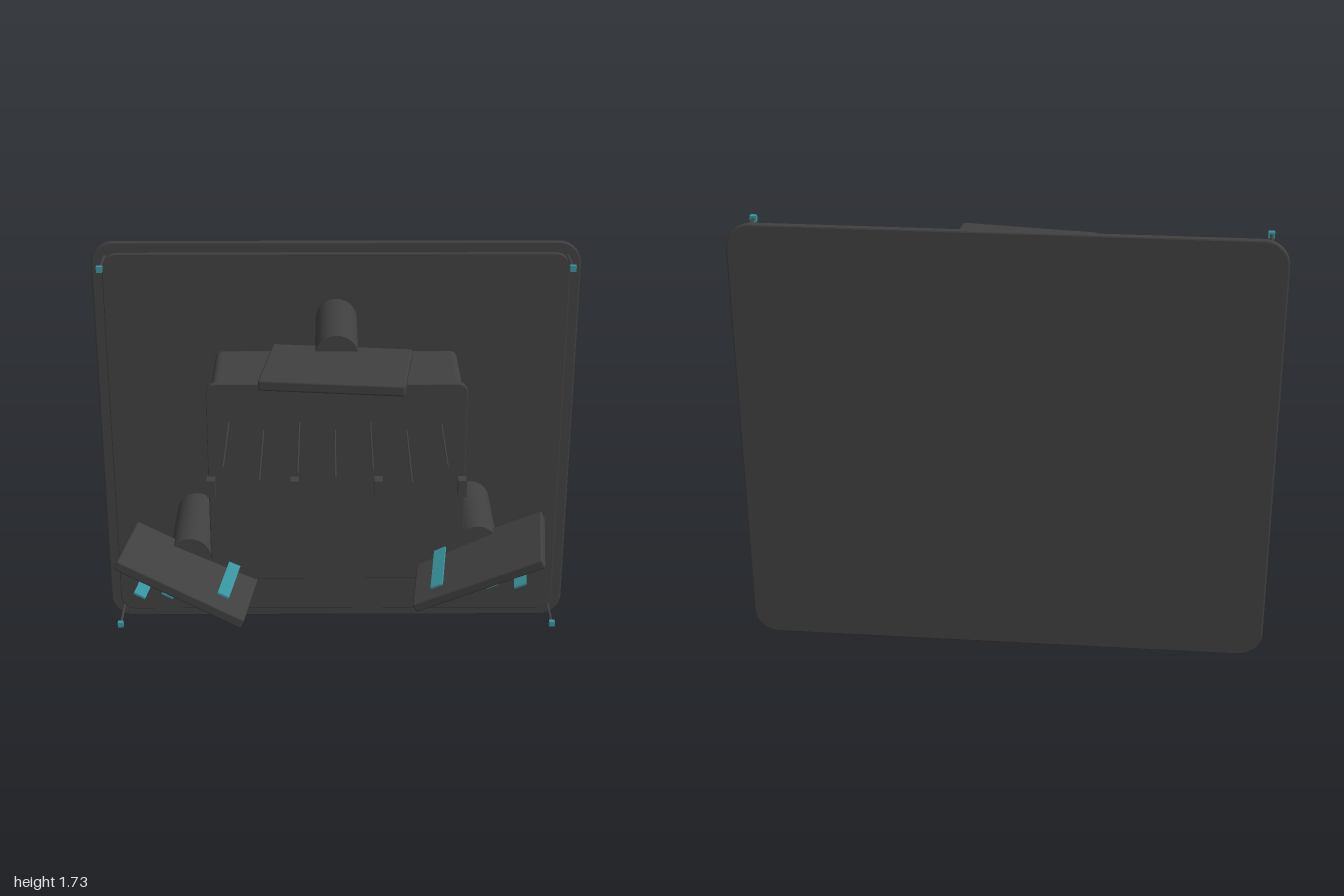
import * as THREE from 'three';
import { RoundedBoxGeometry } from 'three/addons/geometries/RoundedBoxGeometry.js';

const mat = (name, color) => {
  const m = new THREE.MeshStandardMaterial({ color });
  m.name = name;
  return m;
};

// Rounded rectangle slab between z0 and z1, with a small bevel
function slab(x0, x1, y0, y1, z0, z1, r, bevel) {
  const b = bevel, s = new THREE.Shape();
  x0 += b; x1 -= b; y0 += b; y1 -= b;
  s.moveTo(x0 + r, y0);
  s.lineTo(x1 - r, y0).absarc(x1 - r, y0 + r, r, -Math.PI / 2, 0);
  s.lineTo(x1, y1 - r).absarc(x1 - r, y1 - r, r, 0, Math.PI / 2);
  s.lineTo(x0 + r, y1).absarc(x0 + r, y1 - r, r, Math.PI / 2, Math.PI);
  s.lineTo(x0, y0 + r).absarc(x0 + r, y0 + r, r, Math.PI, Math.PI * 1.5);
  const g = new THREE.ExtrudeGeometry(s, {
    depth: z1 - z0 - 2 * b, bevelEnabled: b > 0, bevelSize: b,
    bevelThickness: b, bevelSegments: 2, curveSegments: 8,
  });
  return g.translate(0, 0, z0 + b);
}

// Cylinder along z from z0 to z1
const rod = (r, z0, z1, sides) =>
  new THREE.CylinderGeometry(r, r, z1 - z0, sides).rotateX(Math.PI / 2).translate(0, 0, (z0 + z1) / 2);

export function createModel() {
  const model = new THREE.Group();
  model.name = 'wallUnit';
  const dark = mat('dark grey', 0x404040);
  const teal = mat('teal', 0x38949e);

  const add = (name, geo, material, x = 0, y = 0, z = 0, parent = model) => {
    const mesh = new THREE.Mesh(geo, material);
    mesh.name = name;
    mesh.position.set(x, y, z);
    parent.add(mesh);
    return mesh;
  };

  // Wall panel in two steps
  add('backPanel', slab(-1, 1, 0.005, 1.733, -0.535, -0.51, 0.09, 0.006), dark);
  add('innerPanel', slab(-0.955, 0.955, 0.05, 1.69, -0.511, -0.49, 0.06, 0.004), dark);

  // Central housing and its front plate
  add('housing', new RoundedBoxGeometry(1, 0.83, 0.41, 4, 0.03), dark, 0, 0.865, -0.283);
  add('frontPlate', slab(-0.515, 0.515, 0.44, 1.3, -0.066, -0.04, 0.035, 0.003), dark);
  add('plateSpacer', new THREE.BoxGeometry(0.9, 0.74, 0.03), dark, 0, 0.865, -0.07);

  // Small feet under the housing
  for (const x of [-0.11, 0.11])
    add('foot', new THREE.BoxGeometry(0.1, 0.02, 0.1), dark, x, 0.446, -0.27);

  // Clips across the front plate
  for (const x of [-0.503, -0.168, 0.167, 0.502])
    add('clip', new THREE.BoxGeometry(0.034, 0.07, 0.055), dark, x, 0.869, -0.018);

  // Row of thin needles: start and end of each along z
  const needles = [[-0.04, 0.385], [0.04, 0.505], [-0.04, 0.44], [0.04, 0.48],
    [-0.04, 0.41], [0.04, 0.53], [-0.03, 0.385]];
  needles.forEach(([z0, z1], i) =>
    add('needle', rod(0.0035, z0, z1, 8), dark, (i - 3) * 0.14 - 0.007, 1.137));

  // Three posts, each with a tilted paddle and four strips
  const arms = [[0, 1.416, 0], [-0.6, 0.538, -0.436], [0.573, 0.592, 0.436]];
  for (const [x, y, tilt] of arms) {
    const arm = new THREE.Group();
    arm.name = 'arm';
    arm.position.set(x, y, 0);
    model.add(arm);
    add('post', rod(0.085, -0.48, -0.04, 40), dark, 0, 0, 0, arm);
    const paddle = add('paddle', new RoundedBoxGeometry(0.55, 0.042, 0.4, 2, 0.008), dark, 0, 0, 0.1, arm);
    paddle.rotation.set(0, -0.115, tilt, 'ZYX');
    for (let i = 0; i < 4; i++) {
      const strip = add('strip', new THREE.BoxGeometry(0.05, 0.008, 0.3), teal,
        (i - 1.5) * 0.11, -0.025, 0.103, arm);
      strip.rotation.set(0, -0.115, tilt, 'ZYX');
    }
  }

  // Corner pins with teal tips
  for (const x of [-0.942, 0.942])
    for (const y of [0.062, 1.678]) {
      add('cornerPin', rod(0.006, -0.5, -0.33, 10), dark, x, y);
      add('pinTip', new THREE.BoxGeometry(0.024, 0.024, 0.02), teal, x, y, -0.33);
    }

  return model;
}
